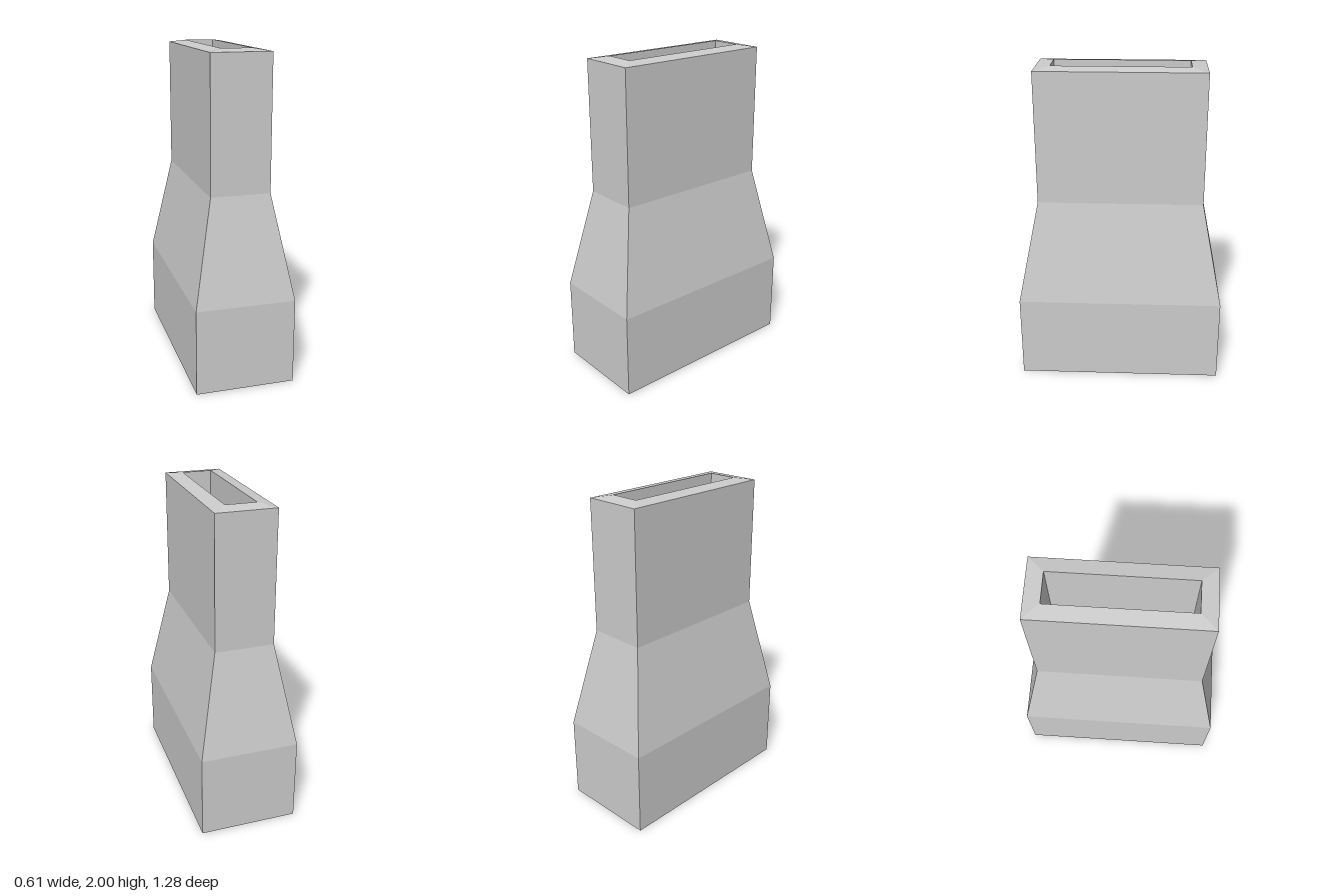
import * as THREE from 'three';

const CORNERS = [[1, 1], [1, -1], [-1, -1], [-1, 1]];

// Flat-faced skin through rectangular rings [halfWidth, y, halfDepth]
function loftRings(rings, capStart, capEnd) {
  const pos = [];
  const pt = ([w, y, d], i) => [w * CORNERS[i % 4][0], y, d * CORNERS[i % 4][1]];
  const quad = (a, b, c, d) => pos.push(...a, ...b, ...c, ...a, ...c, ...d);
  for (let r = 0; r < rings.length - 1; r++) {
    const lo = rings[r], hi = rings[r + 1];
    for (let i = 0; i < 4; i++) quad(pt(lo, i), pt(lo, i + 1), pt(hi, i + 1), pt(hi, i));
  }
  const first = rings[0], last = rings[rings.length - 1];
  if (capStart) quad(pt(first, 3), pt(first, 2), pt(first, 1), pt(first, 0));
  if (capEnd) quad(pt(last, 0), pt(last, 1), pt(last, 2), pt(last, 3));
  const geo = new THREE.BufferGeometry();
  geo.setAttribute('position', new THREE.Float32BufferAttribute(pos, 3));
  geo.computeVertexNormals();
  return geo;
}

export function createModel() {
  const group = new THREE.Group();
  group.name = 'chimney';
  const material = new THREE.MeshStandardMaterial({ color: 0xcccccc, flatShading: true });
  const add = (name, geometry) => {
    const mesh = new THREE.Mesh(geometry, material);
    mesh.name = name;
    group.add(mesh);
  };

  const foot = [0.305, 0, 0.64];
  const baseTop = [0.305, 0.53, 0.64];
  const shoulderTop = [0.182, 1.17, 0.512];
  const rimOuter = [0.182, 1.985, 0.512];
  const rimInner = [0.093, 2, 0.416];
  const flueFloor = [0.093, 1.5, 0.416];

  // Wide base block, closed underneath
  add('base', loftRings([foot, baseTop], true, false));
  // Sloping shoulder
  add('shoulder', loftRings([baseTop, shoulderTop], false, false));
  // Upright stack
  add('stack', loftRings([shoulderTop, rimOuter], false, false));
  // Slightly raised rim around the opening
  add('rim', loftRings([rimOuter, rimInner], false, false));
  // Recessed flue with a floor
  add('flue', loftRings([rimInner, flueFloor], false, true));

  return group;
}
